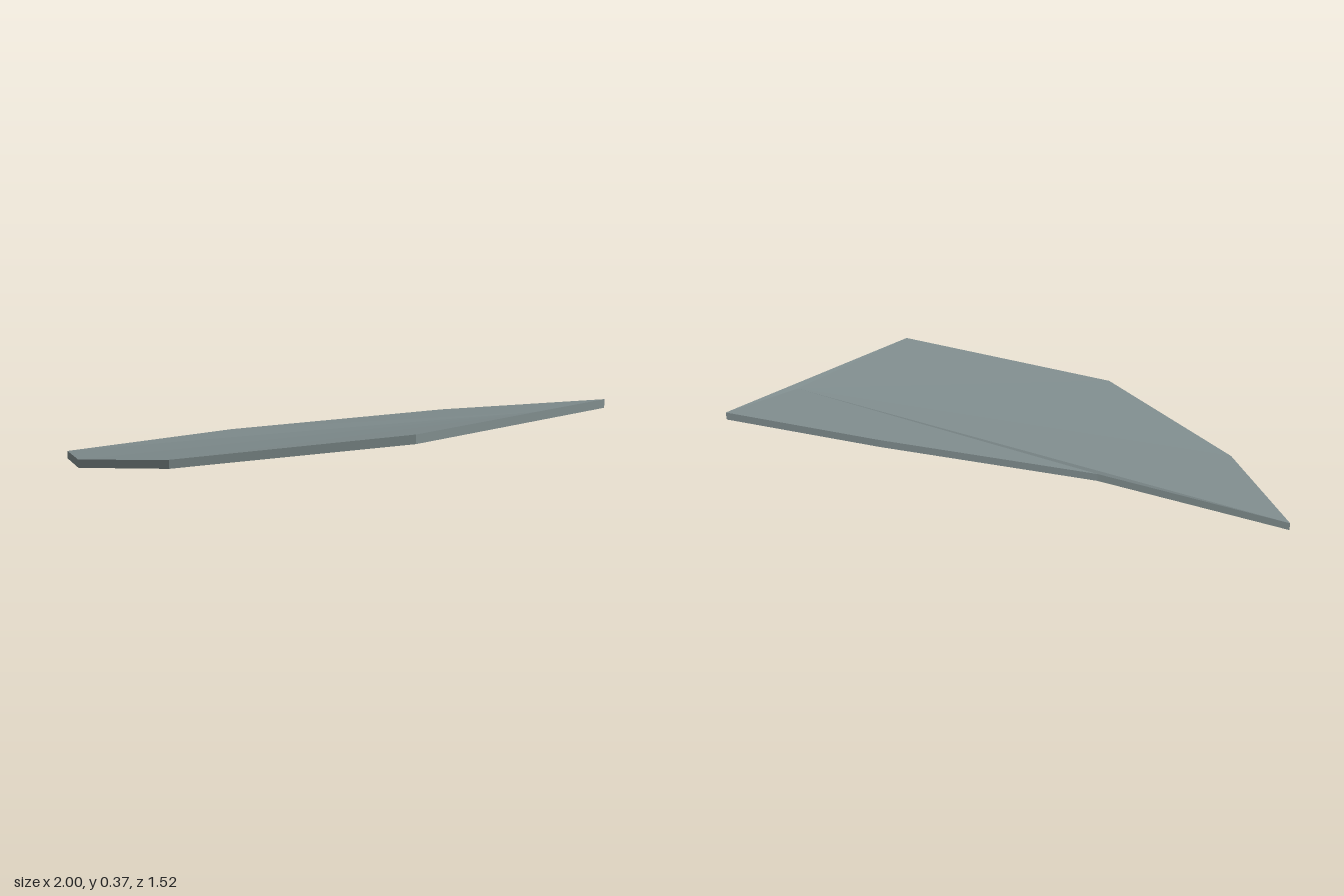
import * as THREE from 'three';

// Outline of the shard's underside, counter-clockwise from above: x, y, z
const OUTLINE = [
  [-1, 0, 0.54], [-0.57, 0.045, 0.74], [0.13, 0.147, 0.76], [0.94, 0.293, 0.25],
  [1, 0.335, -0.76], [0.44, 0.264, -0.41], [-0.3, 0.145, 0.13],
];
// Inner point where the surface folds meet
const FOLD = [0.95, 0.313, -0.41];
const THICKNESS = 0.035;

const raise = ([x, y, z]) => [x, y + THICKNESS, z];

function flatGeometry(triangles) {
  const geometry = new THREE.BufferGeometry();
  geometry.setAttribute('position', new THREE.Float32BufferAttribute(triangles.flat(2), 3));
  geometry.computeVertexNormals();
  return geometry;
}

export function createModel() {
  const group = new THREE.Group();
  group.name = 'shard';
  const grey = new THREE.MeshStandardMaterial({ color: 0x7f8c8d });
  grey.name = 'slate grey';

  const top = [], underside = [], rim = [];
  OUTLINE.forEach((a, i) => {
    const b = OUTLINE[(i + 1) % OUTLINE.length];
    // Fan of facets above and below, joined by an upright wall
    top.push([raise(a), raise(b), raise(FOLD)]);
    underside.push([b, a, FOLD]);
    rim.push([a, b, raise(b)], [a, raise(b), raise(a)]);
  });

  for (const [name, triangles] of Object.entries({ top, underside, rim })) {
    const mesh = new THREE.Mesh(flatGeometry(triangles), grey);
    mesh.name = name;
    group.add(mesh);
  }
  return group;
}
